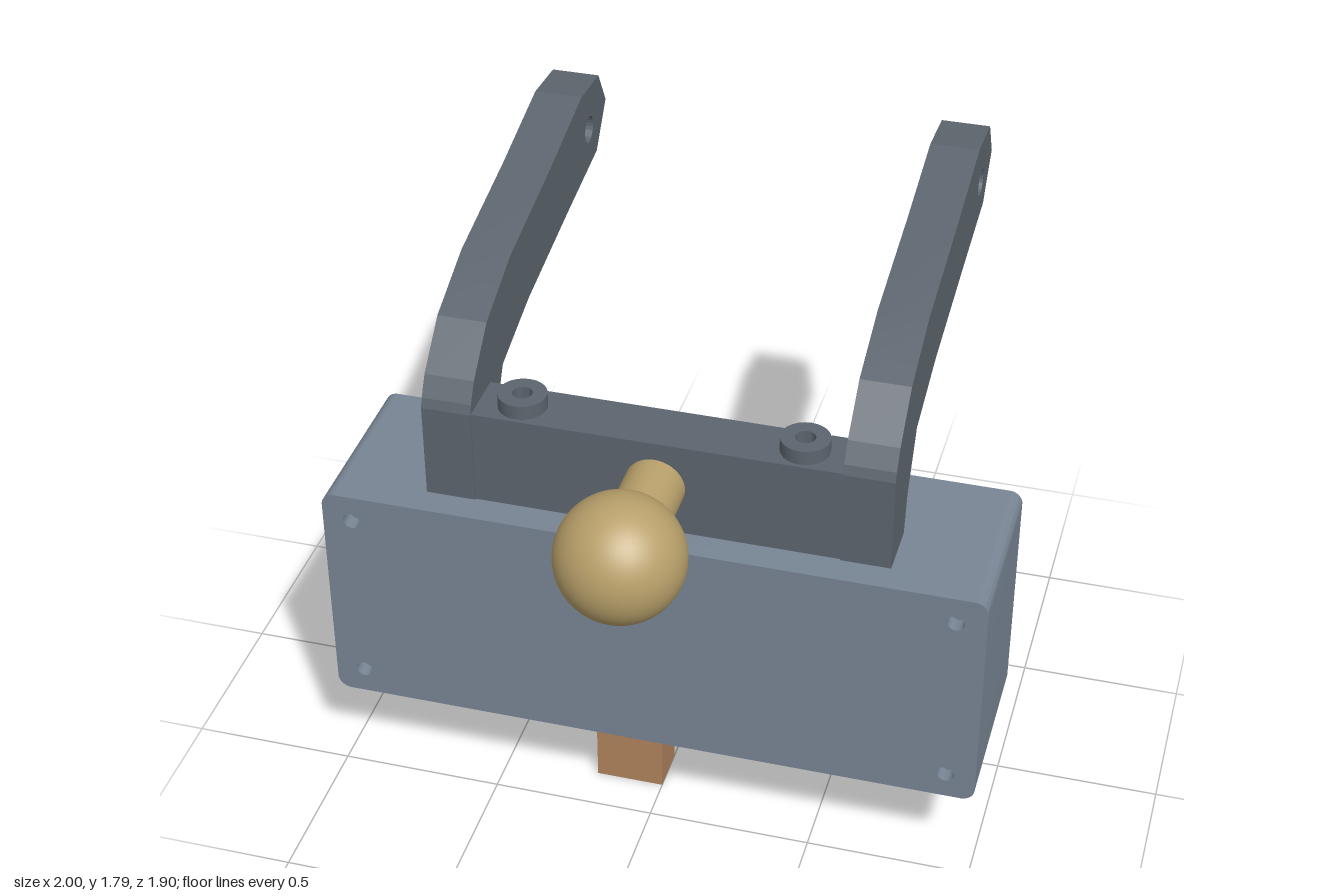
import * as THREE from 'three';
import { toCreasedNormals } from 'three/addons/utils/BufferGeometryUtils.js';

const paint = (color) => new THREE.MeshStandardMaterial({ color });

// Closed shape from points, with round holes given as [x, y, radius]
function outline(points, holes = []) {
  const shape = new THREE.Shape(points.map(([x, y]) => new THREE.Vector2(x, y)));
  return pierce(shape, holes);
}

function pierce(shape, holes) {
  for (const [x, y, r] of holes) {
    shape.holes.push(new THREE.Path().absarc(x, y, r, 0, Math.PI * 2, true));
  }
  return shape;
}

function rect(x0, y0, x1, y1, holes) {
  return outline([[x0, y0], [x1, y0], [x1, y1], [x0, y1]], holes);
}

function roundedRect(x0, y0, x1, y1, r) {
  const s = new THREE.Shape();
  s.absarc(x1 - r, y0 + r, r, -Math.PI / 2, 0);
  s.absarc(x1 - r, y1 - r, r, 0, Math.PI / 2);
  s.absarc(x0 + r, y1 - r, r, Math.PI / 2, Math.PI);
  s.absarc(x0 + r, y0 + r, r, Math.PI, Math.PI * 1.5);
  return s;
}

function extrude(shape, depth) {
  const geo = new THREE.ExtrudeGeometry(shape, { depth, bevelEnabled: false, curveSegments: 12 });
  return toCreasedNormals(geo, 0.6);
}

// Plate lying flat: its shape is drawn in x and -z, and it rises from y
const flatPlate = (shape, height, y) => extrude(shape, height).rotateX(-Math.PI / 2).translate(0, y, 0);

export function createModel() {
  const model = new THREE.Group();
  const housingMat = paint(0x788594);
  const bracketMat = paint(0x5c656e);
  const brassMat = paint(0xb8a06a);
  const copperMat = paint(0xb0825c);
  const tealMat = paint(0x6fa8a0);

  const add = (name, geometry, material, parent = model) => {
    const mesh = new THREE.Mesh(geometry, material);
    mesh.name = name;
    parent.add(mesh);
    return mesh;
  };

  // Hollow housing: walls open at the bottom, back panel, drilled lid and floor
  const housing = new THREE.Group();
  housing.name = 'housing';
  model.add(housing);
  const y0 = 0.305, y1 = 1.045, r = 0.04, t = 0.05;
  const walls = new THREE.Shape();
  walls.moveTo(1 - t, y0);
  walls.absarc(1 - r, y0 + r, r, -Math.PI / 2, 0);
  walls.absarc(1 - r, y1 - r, r, 0, Math.PI / 2);
  walls.absarc(-1 + r, y1 - r, r, Math.PI / 2, Math.PI);
  walls.absarc(-1 + r, y0 + r, r, Math.PI, Math.PI * 1.5);
  walls.lineTo(-1 + t, y0);
  walls.lineTo(-1 + t, y1 - t);
  walls.lineTo(1 - t, y1 - t);
  add('housingWalls', extrude(walls, 0.45).translate(0, 0, 0.01), housingMat, housing);
  add('backPanel', extrude(roundedRect(-1, y0, 1, y1, r), t).translate(0, 0, -0.04), housingMat, housing);

  const screws = [];
  for (const x of [-0.91, 0.91]) for (const y of [0.39, 0.96]) screws.push([x, y, 0.026]);
  const lid = pierce(roundedRect(-1, y0, 1, y1, r), screws);
  add('frontLid', extrude(lid, t).translate(0, 0, 0.46), housingMat, housing);
  for (const [x, y] of screws) {
    const boss = new THREE.CylinderGeometry(0.035, 0.035, 0.1, 20).rotateX(Math.PI / 2);
    add('screwBoss', boss.translate(x, y, 0.411), housingMat, housing);
  }

  const floor = rect(-1 + t, -0.46, 1 - t, -0.01, [
    [-0.67, -0.235, 0.053], [0.67, -0.235, 0.053], [-0.105, -0.293, 0.15],
  ]);
  add('floor', flatPlate(floor, t, y0), housingMat, housing);

  // Square post dropping through the floor
  add('post', new THREE.BoxGeometry(0.21, 0.6, 0.145).translate(-0.105, 0.3, 0.293), copperMat);

  // Cross bar with bolt holes
  const bar = rect(-0.55, -0.415, 0.55, -0.24, [[-0.42, -0.33, 0.03], [0.42, -0.33, 0.03]]);
  add('crossBar', flatPlate(bar, 0.3, y1), bracketMat);

  // Bent arms, profile drawn as z and y
  const profile = [
    [0.42, 1.045], [0.245, 1.045], [0.22, 1.165], [0.125, 1.335], [-0.13, 1.41], [-0.53, 1.48],
    [-0.845, 1.53], [-0.95, 1.66], [-0.88, 1.78], [-0.7, 1.795], [-0.375, 1.72], [0.02, 1.645],
    [0.245, 1.555], [0.375, 1.435], [0.41, 1.375], [0.42, 1.345],
  ];
  const armShape = outline(profile.map(([z, y]) => [-z, y]), [[0.77, 1.645, 0.043]]);
  const armGeo = new THREE.ExtrudeGeometry(armShape, { depth: 0.15, bevelEnabled: false, curveSegments: 12 });
  armGeo.rotateY(Math.PI / 2);
  const arm = toCreasedNormals(armGeo, 0.2);

  for (const side of [-1, 1]) {
    const label = side > 0 ? 'left' : 'right';
    add(label + 'Arm', arm, bracketMat).position.x = side > 0 ? 0.55 : -0.7;

    // Bolt head ring and the core seen down its hole
    const ring = new THREE.Shape().absarc(0, 0, 0.073, 0, Math.PI * 2);
    const head = flatPlate(pierce(ring, [[0, 0, 0.03]]), 0.045, 1.345);
    add(label + 'BoltHead', head.translate(side * 0.42, 0, 0.33), bracketMat);
    const core = new THREE.CylinderGeometry(0.03, 0.03, 0.1, 24);
    add(label + 'BoltCore', core.translate(side * 0.42, 1.15, 0.33), tealMat);
  }

  // Ball on a stud
  const stud = new THREE.CylinderGeometry(0.09, 0.09, 0.25, 40).rotateX(Math.PI / 2);
  add('ballStud', stud.translate(0, 1.2, 0.535), brassMat);
  add('ball', new THREE.SphereGeometry(0.19, 48, 32).translate(0, 1.2, 0.765), brassMat);

  return model;
}
